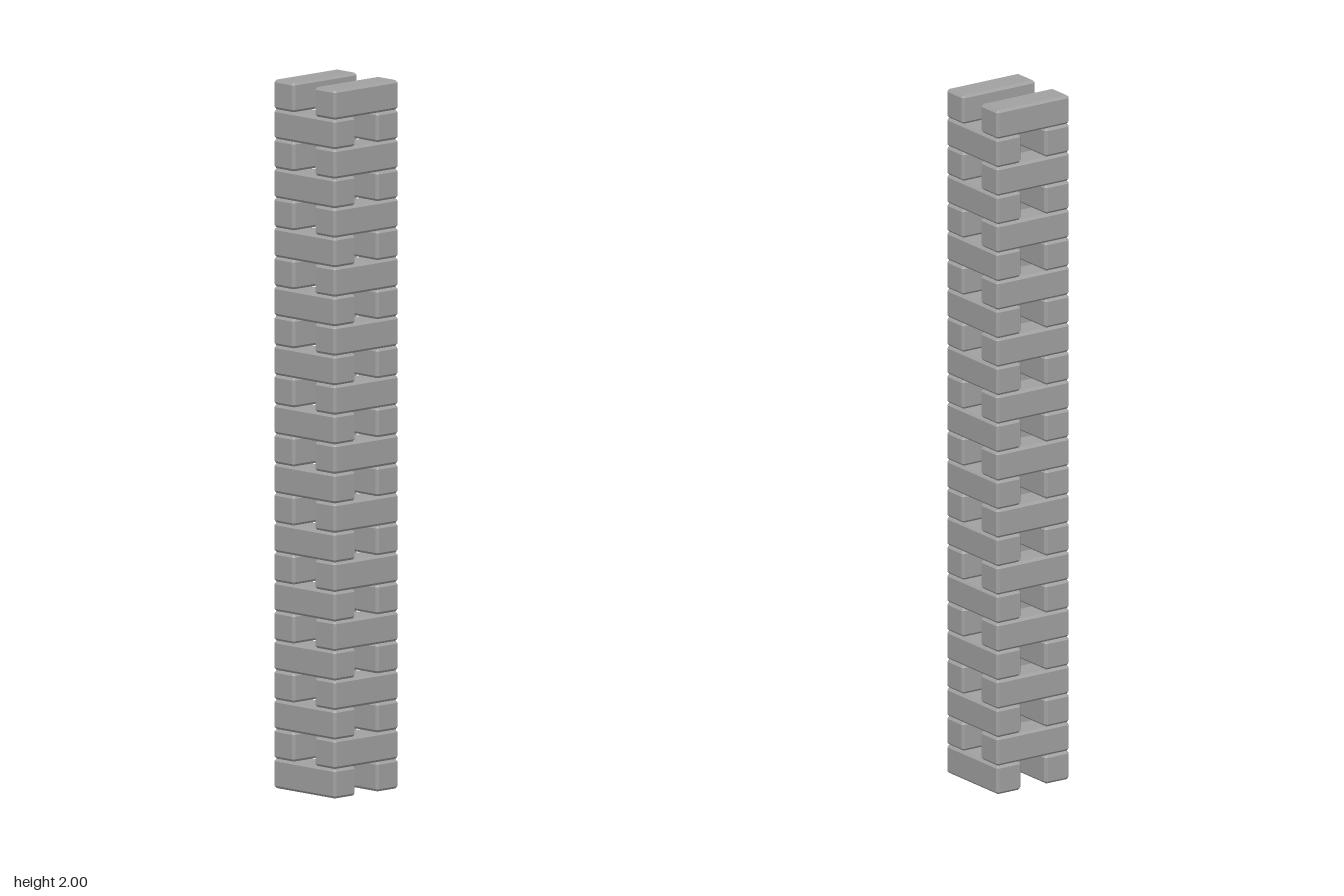
import * as THREE from 'three';
import { ConvexGeometry } from 'three/addons/geometries/ConvexGeometry.js';

const LAYERS = 24;
const HEIGHT = 2 / LAYERS; // block height, equal to its width
const LENGTH = 0.248;
const CHAMFER = 0.007;

// Box with every edge and corner cut flat
function chamferedBox(w, h, d, c) {
  const points = [];
  for (const x of [-1, 1]) for (const y of [-1, 1]) for (const z of [-1, 1]) {
    for (let face = 0; face < 3; face++) {
      points.push(new THREE.Vector3(
        x * (w / 2 - (face === 0 ? 0 : c)),
        y * (h / 2 - (face === 1 ? 0 : c)),
        z * (d / 2 - (face === 2 ? 0 : c))));
    }
  }
  return new ConvexGeometry(points);
}

export function createModel() {
  const tower = new THREE.Group();
  tower.name = 'blockTower';
  const grey = new THREE.MeshStandardMaterial({ color: 0xa0a0a0 });
  grey.name = 'grey';
  const geometry = chamferedBox(LENGTH, HEIGHT, HEIGHT, CHAMFER);
  const offset = (LENGTH - HEIGHT) / 2;

  // Pairs of blocks, each layer turned a quarter from the one below
  for (let i = 0; i < LAYERS; i++) {
    const layer = new THREE.Group();
    layer.name = `layer${i + 1}`;
    layer.position.y = (i + 0.5) * HEIGHT;
    layer.rotation.y = i % 2 === 0 ? Math.PI / 2 : 0;
    for (const side of [-1, 1]) {
      const block = new THREE.Mesh(geometry, grey);
      block.name = 'block';
      block.position.z = side * offset;
      layer.add(block);
    }
    tower.add(layer);
  }
  return tower;
}
